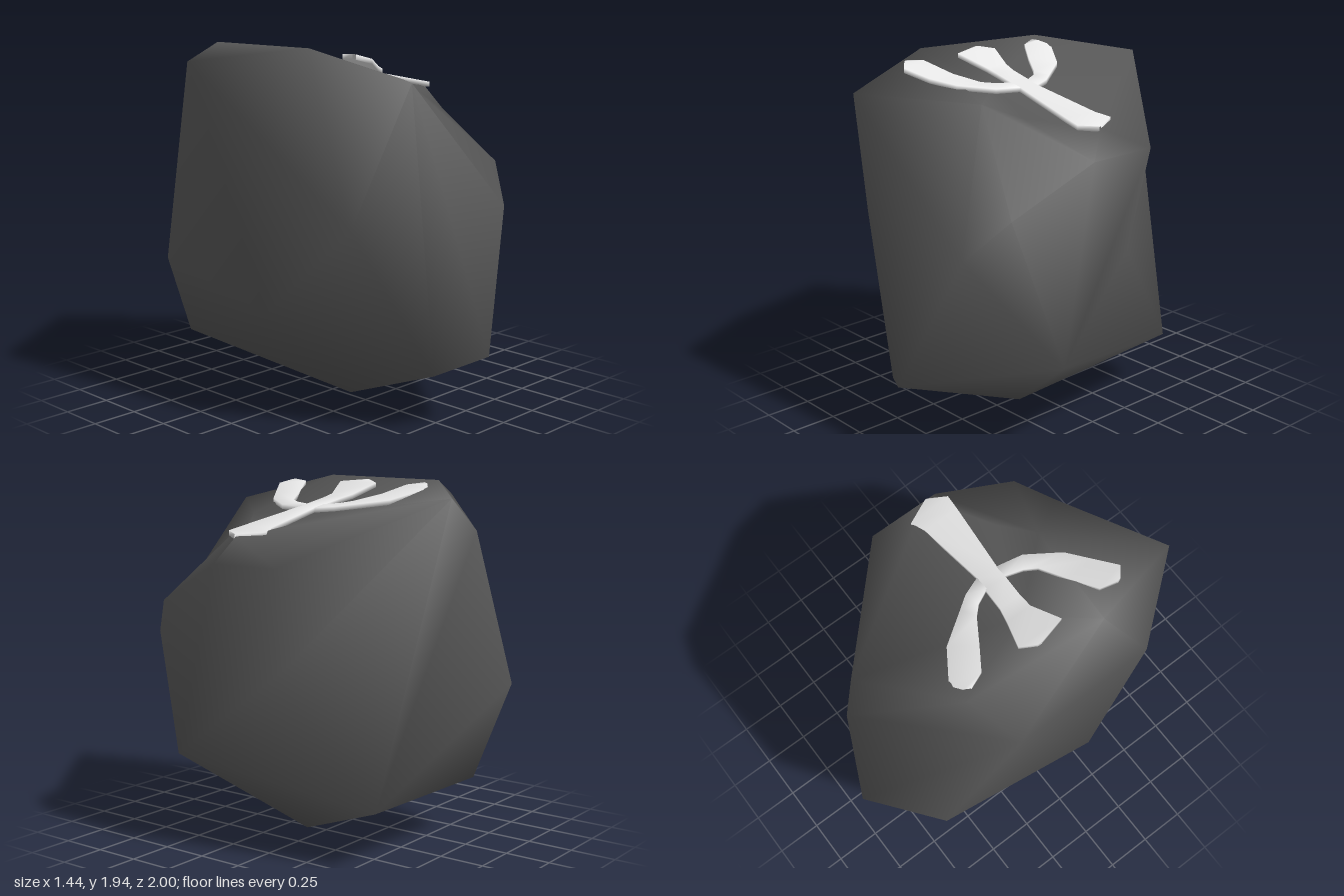
import * as THREE from 'three';

const stone = new THREE.MeshStandardMaterial({ color: 0x585858 });
stone.name = 'dark stone';
const paint = new THREE.MeshStandardMaterial({ color: 0xffffff, side: THREE.DoubleSide });
paint.name = 'white marking';

function smoothMesh(name, positions, index, material) {
  const geo = new THREE.BufferGeometry();
  geo.setAttribute('position', new THREE.Float32BufferAttribute(positions, 3));
  geo.setIndex(index);
  geo.computeVertexNormals();
  const mesh = new THREE.Mesh(geo, material);
  mesh.name = name;
  return mesh;
}

// Boulder corners, one letter each, from the bottom tip up to the hollow top
const corners = {
  a: [0.03, 0, 0.11],
  // low belt
  N: [0.11, 0.39, 1], M: [0.72, 0.52, 0.43], K: [0.43, 0.31, -0.63],
  L: [-0.47, 0.31, -0.66], H: [-0.69, 0.62, 0.21], G: [-0.14, 0.31, 0.85],
  // middle belt
  P: [0.43, 1.1, 0.83], B: [0.58, 1.3, 0.65], X: [0.595, 0.98, -0.14],
  I: [-0.26, 0.91, -1], J: [-0.59, 0.74, -0.7], E: [-0.56, 1.09, 0.67],
  // top rim
  Q: [0.68, 1.53, 0.2], R: [0.68, 1.53, -0.2], C: [0.62, 1.67, 0.1],
  F: [-0.36, 1.8, 0.87], S: [-0.5, 1.94, 0.33], V: [-0.72, 1.85, -0.33],
  T: [-0.43, 1.93, -0.43], A: [0, 1.86, -0.78], D: [-0.08, 1.7, -0.88],
  // front lip and floor of the hollow
  W: [0.1, 1.75, 0.42], Y: [0.28, 1.69, 0.3], O: [-0.2, 1.75, 0.08],
};

function boulder() {
  const keys = Object.keys(corners);
  const faces = [
    'NMP NPF NFG GFE GEH',              // front
    'PMB MQB MRQ',                      // right side
    'KDA KID KLI LJI JVI IVD VTD DTA',  // back
    'LHJ HVJ HEV ESV EFS VST',          // left side
    'PBW BQW QYW QCY QRC CRA FPW FWS',  // outer slopes of the top
  ].join(' ').split(' ');
  // fans for the bottom tip, the dent in the right side and the hollow
  const fan = (centre, ring) => [...ring].forEach((k, i) => faces.push(centre + k + ring[(i + 1) % ring.length]));
  fan('a', 'MNGHLK');
  fan('X', 'MKAR');
  fan('O', 'WYCATS');
  const index = faces.flatMap((f) => [...f].map((k) => keys.indexOf(k)));
  return smoothMesh('boulder', keys.flatMap((k) => corners[k]), index, stone);
}

// Height of the marking, which climbs towards the left rim
const slope = [[-0.41, 1.925], [-0.35, 1.905], [-0.21, 1.85], [-0.08, 1.82], [0.05, 1.795], [0.47, 1.71], [0.62, 1.68]];
function heightAt(x) {
  const i = Math.max(1, slope.findIndex((p) => p[0] >= x));
  const [[x0, y0], [x1, y1]] = [slope[i - 1], slope[i]];
  return y0 + (y1 - y0) * (x - x0) / (x1 - x0);
}

// Thin strip with rounded shading, from rows of [x, z] on one edge and [x, z] on the other
function strip(name, rows) {
  const thickness = 0.025;
  const pos = rows.flatMap(([x1, z1, x2, z2]) => {
    const y1 = heightAt(x1), y2 = heightAt(x2);
    return [x1, y1, z1, x2, y2, z2, x2, y2 - thickness, z2, x1, y1 - thickness, z1];
  });
  const index = [];
  for (let i = 0; i < rows.length - 1; i++) {
    for (let j = 0; j < 4; j++) {
      const p = i * 4 + j, q = i * 4 + (j + 1) % 4;
      index.push(p, q, p + 4, q, q + 4, p + 4);
    }
  }
  return smoothMesh(name, pos, index, paint);
}

export function createModel() {
  const group = new THREE.Group();
  group.name = 'markedBoulder';
  group.add(boulder());

  // Four-armed marking lying in the hollow
  const marking = new THREE.Group();
  marking.name = 'marking';
  marking.add(
    strip('longArm', [
      [0, 0.01, 0, 0.13], [0.08, 0.02, 0.08, 0.135], [0.47, -0.01, 0.47, 0.19],
      [0.55, -0.04, 0.56, 0.2], [0.62, 0.1, 0.62, 0.11],
    ]),
    strip('middleArm', [
      [0, 0.01, 0, 0.13], [-0.13, 0, -0.13, 0.12], [-0.21, -0.02, -0.21, 0.12],
      [-0.36, -0.07, -0.37, 0.18], [-0.41, 0.01, -0.41, 0.03],
    ]),
    strip('backArm', [
      [0.08, 0.02, 0, 0.02], [0.04, -0.08, -0.04, -0.06], [-0.01, -0.15, -0.09, -0.11],
      [-0.13, -0.32, -0.23, -0.2], [-0.31, -0.44, -0.35, -0.28], [-0.37, -0.4, -0.39, -0.37],
    ]),
    strip('frontArm', [
      [0.07, 0.13, 0, 0.13], [0.04, 0.27, -0.03, 0.22], [-0.08, 0.43, -0.07, 0.28],
      [-0.2, 0.51, -0.21, 0.35], [-0.32, 0.58, -0.36, 0.42], [-0.38, 0.53, -0.385, 0.51],
    ]),
  );
  group.add(marking);
  return group;
}
